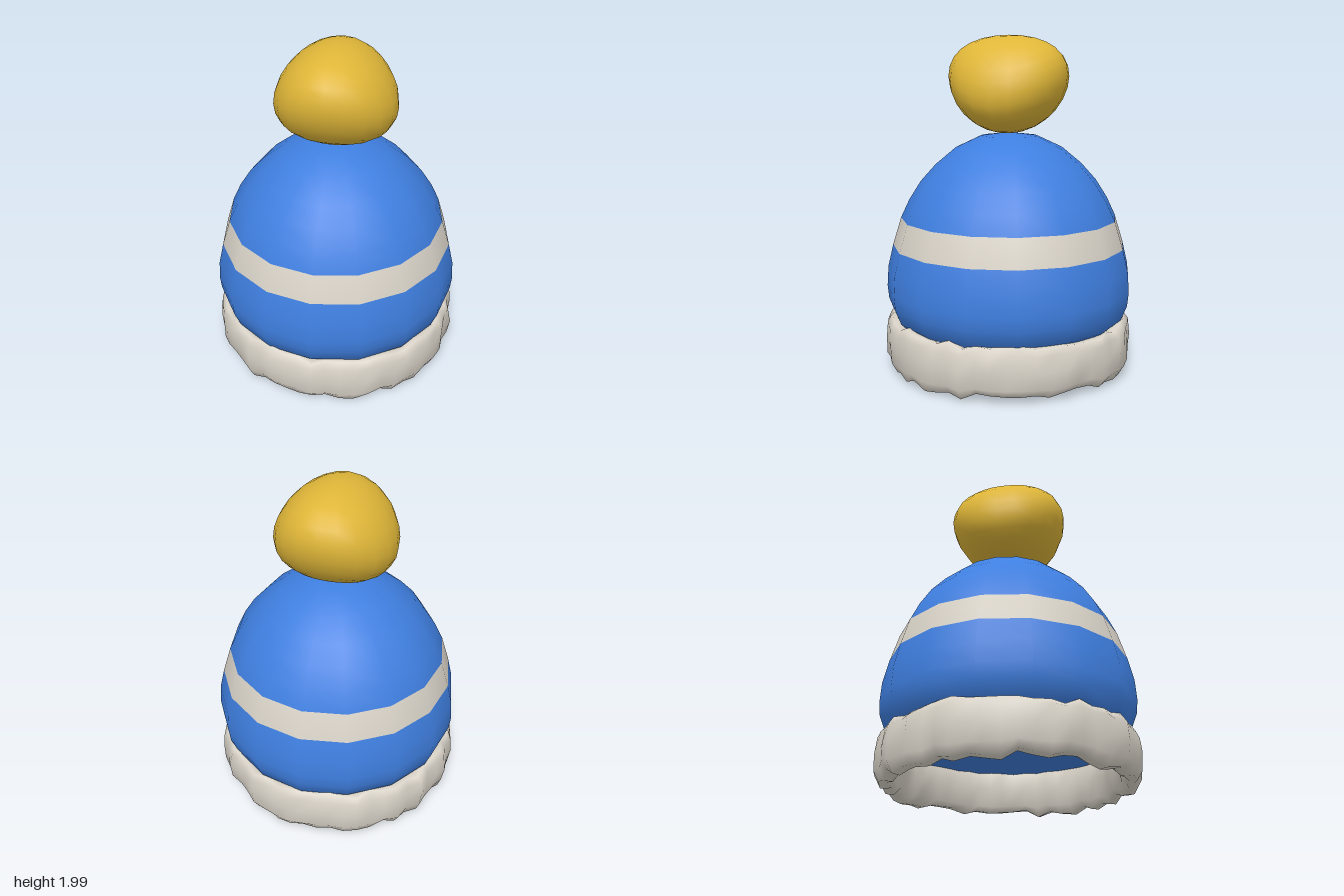
import * as THREE from 'three';

const mat = (name, color) => {
  const m = new THREE.MeshStandardMaterial({ color });
  m.name = name;
  return m;
};

// Repeatable noise in the range -1 to 1
const noise = (i, j) => {
  const s = Math.sin(i * 127.1 + j * 311.7) * 43758.5453;
  return 2 * (s - Math.floor(s)) - 1;
};

// Knitted dome: one smooth lathe whose rings are grouped by colour
function makeCap(blue, cream) {
  const profile = [
    [0.64, 0.28], [0.7, 0.33], [0.735, 0.42], [0.743, 0.5], [0.735, 0.62], [0.703, 0.755],
    [0.652, 0.92], [0.6, 1.03], [0.53, 1.14], [0.44, 1.24], [0.32, 1.34], [0.17, 1.41], [0, 1.43],
  ].map(([r, y]) => new THREE.Vector2(r, y));
  const sides = 16, rings = profile.length - 1, stripeRing = 5;
  const geo = new THREE.LatheGeometry(profile, sides);
  const old = geo.index.array, body = [], stripe = [];
  for (let s = 0; s < sides; s++) {
    for (let r = 0; r < rings; r++) {
      const k = (s * rings + r) * 6;
      (r === stripeRing ? stripe : body).push(...old.slice(k, k + 6));
    }
  }
  geo.setIndex([...body, ...stripe]);
  geo.addGroup(0, body.length, 0);
  geo.addGroup(body.length, stripe.length, 1);
  return new THREE.Mesh(geo, [blue, cream]);
}

// Fluffy cuff: a rounded cross-section swept in a ring, with lumps
function makeCuff(material) {
  const section = [
    [0.62, 0.29], [0.66, 0.325], [0.71, 0.325], [0.738, 0.285], [0.747, 0.19],
    [0.74, 0.09], [0.71, 0.04], [0.665, 0.035], [0.63, 0.07], [0.615, 0.18],
  ];
  const n = 54, m = section.length, pos = [], idx = [];
  for (let i = 0; i < n; i++) {
    const a = (i / n) * Math.PI * 2;
    const lump = 0.013 * noise(i, 1);
    section.forEach(([r, y], j) => {
      const rr = r + lump + 0.007 * noise(i, j + 5);
      const edge = Math.abs(y - 0.18) > 0.12 ? 0.022 : 0.01;
      const yy = y + edge * noise(i, j < 4 ? 30 : 40) + 0.004 * noise(i, j + 50);
      pos.push(rr * Math.sin(a), Math.max(0, yy), rr * Math.cos(a));
      const i2 = (i + 1) % n, j2 = (j + 1) % m;
      const p = i * m + j, q = i2 * m + j, s = i2 * m + j2, t = i * m + j2;
      idx.push(p, t, q, t, s, q);
    });
  }
  const geo = new THREE.BufferGeometry();
  geo.setAttribute('position', new THREE.Float32BufferAttribute(pos, 3));
  geo.setIndex(idx);
  geo.computeVertexNormals();
  return new THREE.Mesh(geo, material);
}

// Pompom: squashed ball bent like a saddle, drooping at the sides
function makePompom(material) {
  const geo = new THREE.SphereGeometry(1, 20, 14);
  const p = geo.attributes.position;
  for (let i = 0; i < p.count; i++) {
    const x = p.getX(i), y = p.getY(i), z = p.getZ(i);
    p.setXYZ(i, 0.355 * x, 0.288 * y + 0.06 * (z * z - x * x), 0.358 * z);
  }
  geo.computeVertexNormals();
  // Smooth the seam and poles with normals of the bent ellipsoid
  const nrm = geo.attributes.normal, ball = new THREE.SphereGeometry(1, 20, 14).attributes.position;
  const v = new THREE.Vector3();
  for (let i = 0; i < p.count; i++) {
    const x = ball.getX(i), y = ball.getY(i), z = ball.getZ(i);
    const ny = y / 0.288;
    v.set((x + 0.12 * x * ny) / 0.355, ny, (z - 0.12 * z * ny) / 0.358).normalize();
    nrm.setXYZ(i, v.x, v.y, v.z);
  }
  return new THREE.Mesh(geo, material);
}

export function createModel() {
  const blue = mat('blue wool', 0x3f7fe0);
  const cream = mat('cream wool', 0xd9d3c8);
  const yellow = mat('yellow wool', 0xdfb638);
  const hat = new THREE.Group();
  hat.name = 'bobbleHat';
  const add = (mesh, name, x, y) => {
    mesh.name = name;
    mesh.position.set(x, y, 0);
    hat.add(mesh);
  };

  add(makeCap(blue, cream), 'cap', 0.005, 0);

  // Flat lining that closes the cap inside the cuff
  const lining = new THREE.CircleGeometry(0.65, 16);
  lining.rotateX(Math.PI / 2);
  add(new THREE.Mesh(lining, blue), 'lining', 0.005, 0.28);

  add(makeCuff(cream), 'cuff', 0, 0);
  add(makePompom(yellow), 'pompom', 0.007, 1.712);
  return hat;
}
